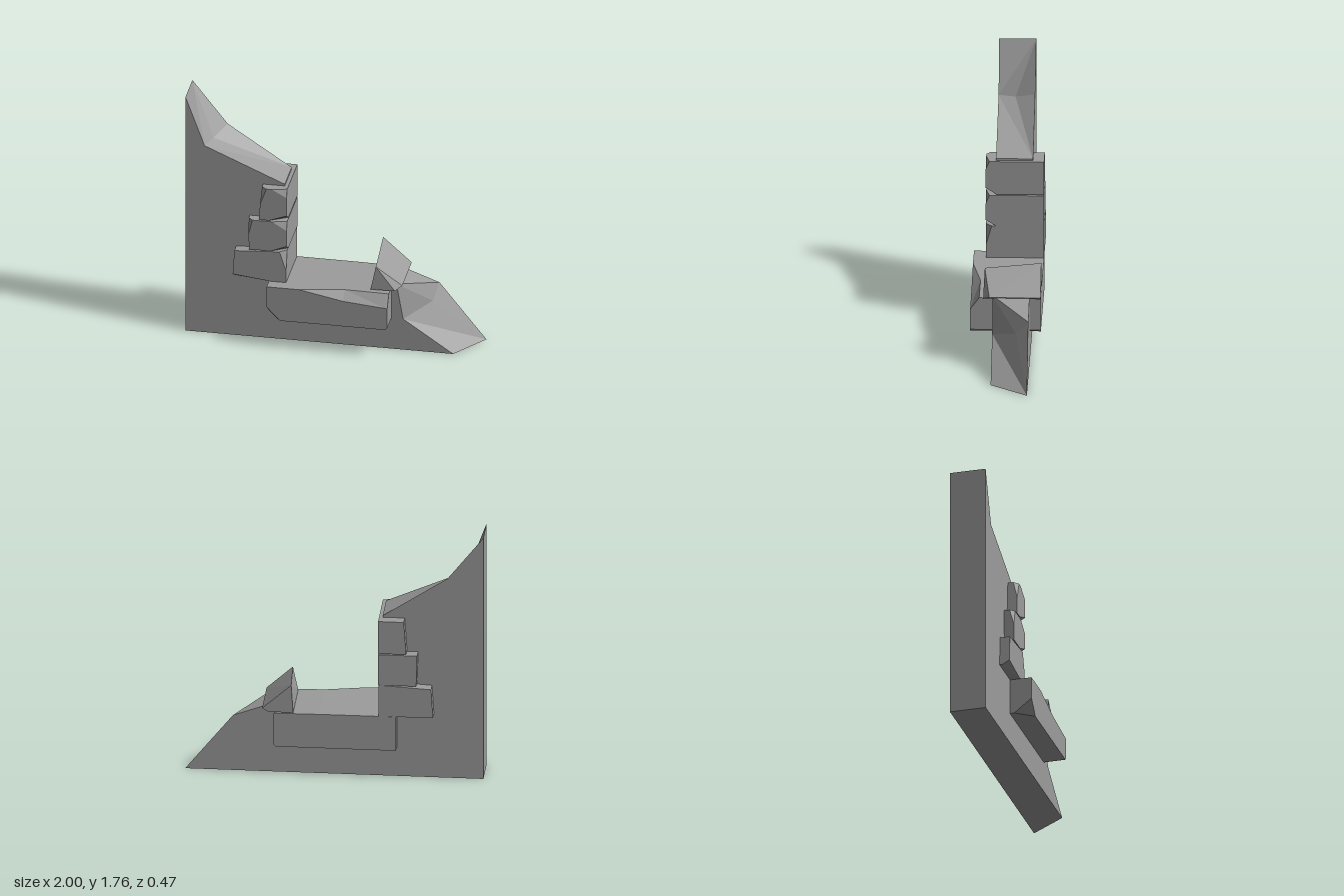
import * as THREE from 'three';
import { ConvexGeometry } from 'three/addons/geometries/ConvexGeometry.js';

const material = new THREE.MeshStandardMaterial({ color: 0x9c9c9c, flatShading: true });

function addMesh(group, name, geometry) {
  const mesh = new THREE.Mesh(geometry, material);
  mesh.name = name;
  group.add(mesh);
}

const hull = (points) => new ConvexGeometry(points.map((p) => new THREE.Vector3(...p)));

function facets(positions) {
  const geometry = new THREE.BufferGeometry();
  geometry.setAttribute('position', new THREE.Float32BufferAttribute(positions, 3));
  geometry.computeVertexNormals();
  return geometry;
}

// Block from an xy outline (bottom left, bottom right, top right, top left).
// chips[i] = [dx, dy, dz] cuts off front corner i, measured along its three edges.
function chippedBlock(outline, back, front, chips) {
  const points = [];
  outline.forEach(([x, y], i) => {
    points.push([x, y, back]);
    if (!chips[i]) return points.push([x, y, front]);
    const [dx, dy, dz] = chips[i];
    const sx = i === 0 || i === 3 ? 1 : -1;
    const sy = i < 2 ? 1 : -1;
    const mate = outline[3 - i];
    const t = dy / Math.abs(mate[1] - y);
    points.push([x + sx * dx, y, front], [x + (mate[0] - x) * t, y + sy * dy, front], [x, y, front - dz]);
  });
  return hull(points);
}

// Broken wall: each row is a front, middle and back point, anticlockwise round the outline.
function wallGeometry() {
  const F = 0.085, B = -0.163;
  const straight = (x, y) => [[x, y, F], [x, y, B], [x, y, B]];
  const rows = [
    straight(-1, 0),
    [[0.82, 0, F], [1, 0, B], [1, 0, B]],
    [[0.48, 0.23, F], [0.65, 0.3, -0.08], [0.68, 0.4, B]],
    [[0.435, 0.49, F], [0.435, 0.49, F], [0.435, 0.49, B]],
    straight(0.385, 0.43),
    straight(-0.325, 0.43),
    straight(-0.325, 1.168),
    [[-0.87, 1.405, F], [-0.83, 1.41, -0.03], [-0.76, 1.455, B]],
    straight(-1, 1.76),
  ];
  const pos = [];
  const tri = (a, b, c) => pos.push(...a, ...b, ...c);

  // Broken edge faces
  rows.forEach((row, i) => {
    const next = rows[(i + 1) % rows.length];
    for (let k = 0; k < 2; k++) {
      const [a, b, c, d] = [row[k], row[k + 1], next[k + 1], next[k]];
      if (i === 7) { tri(a, b, c); tri(a, c, d); }
      else { tri(a, b, d); tri(b, c, d); }
    }
  });

  // Flat front and back
  for (const k of [0, 2]) {
    const outline = rows.map((r) => new THREE.Vector2(r[k][0], r[k][1]));
    for (const [a, b, c] of THREE.ShapeUtils.triangulateShape(outline, [])) {
      if (k === 0) tri(rows[a][k], rows[b][k], rows[c][k]);
      else tri(rows[a][k], rows[c][k], rows[b][k]);
    }
  }
  return facets(pos);
}

// Sill lofted along x: its worn front edge is hollow and its lower corner is chipped.
function sillGeometry(back) {
  const F = 0.235;
  // x, bottom y, bottom front z, lowest front y, highest front y, top y, top front z
  const sections = [
    [-0.42, 0.215, 0.115, 0.31, 0.455, 0.462, F],
    [-0.33, 0.215, F, 0.215, 0.458, 0.462, F],
    [-0.2, 0.215, F, 0.215, 0.46, 0.462, F],
    [0.1, 0.215, F, 0.215, 0.403, 0.461, 0.175],
    [0.385, 0.215, F, 0.215, 0.377, 0.458, 0.175],
    [0.4, 0.23, F, 0.23, 0.375, 0.458, 0.175],
  ].map(([x, y0, z0, y1, y2, y3, z3]) => [
    [x, y0, back], [x, y0, z0], [x, y1, F], [x, y2, F], [x, y3, z3], [x, y3, back],
  ]);
  const pos = [];
  const tri = (a, b, c) => pos.push(...a, ...b, ...c);
  for (let s = 0; s < sections.length - 1; s++) {
    const p = sections[s], q = sections[s + 1];
    p.forEach((a, i) => {
      const j = (i + 1) % p.length;
      tri(a, q[i], p[j]);
      tri(q[i], q[j], p[j]);
    });
  }
  const first = sections[0], last = sections[sections.length - 1];
  for (let i = 1; i < first.length - 1; i++) {
    tri(first[0], first[i], first[i + 1]);
    tri(last[0], last[i + 1], last[i]);
  }
  return facets(pos);
}

export function createModel() {
  const group = new THREE.Group();
  group.name = 'ruinedWindowWall';
  addMesh(group, 'wall', wallGeometry());

  // Stacked stones of the jamb
  const back = -0.237, front = 0.153;
  addMesh(group, 'lowerJambStone', chippedBlock(
    [[-0.668, 0.463], [-0.303, 0.463], [-0.303, 0.69], [-0.655, 0.67]], back, front,
    { 0: [0.26, 0.03, 0.05], 2: [0.045, 0.14, 0.04] }));
  addMesh(group, 'middleJambStone', chippedBlock(
    [[-0.555, 0.69], [-0.3, 0.69], [-0.3, 0.912], [-0.562, 0.912]], back, front,
    { 1: [0.11, 0.045, 0.07], 2: [0.1, 0.06, 0.025], 3: [0.03, 0.11, 0.03] }));
  addMesh(group, 'upperJambStone', chippedBlock(
    [[-0.488, 0.92], [-0.3, 0.92], [-0.3, 1.155], [-0.472, 1.155]], back, front,
    { 1: [0.12, 0.045, 0.07], 2: [0.1, 0.055, 0.025], 3: [0.035, 0.12, 0.03] }));

  addMesh(group, 'sill', sillGeometry(back));

  // Tilted loose stone at the far end of the sill
  addMesh(group, 'looseStone', hull([
    [0.283, 0.665, back], [0.27, 0.465, back], [0.44, 0.468, back], [0.478, 0.492, back],
    [0.305, 0.635, 0.14], [0.27, 0.465, 0.147], [0.435, 0.468, 0.147], [0.478, 0.492, 0.105],
  ]));
  return group;
}
